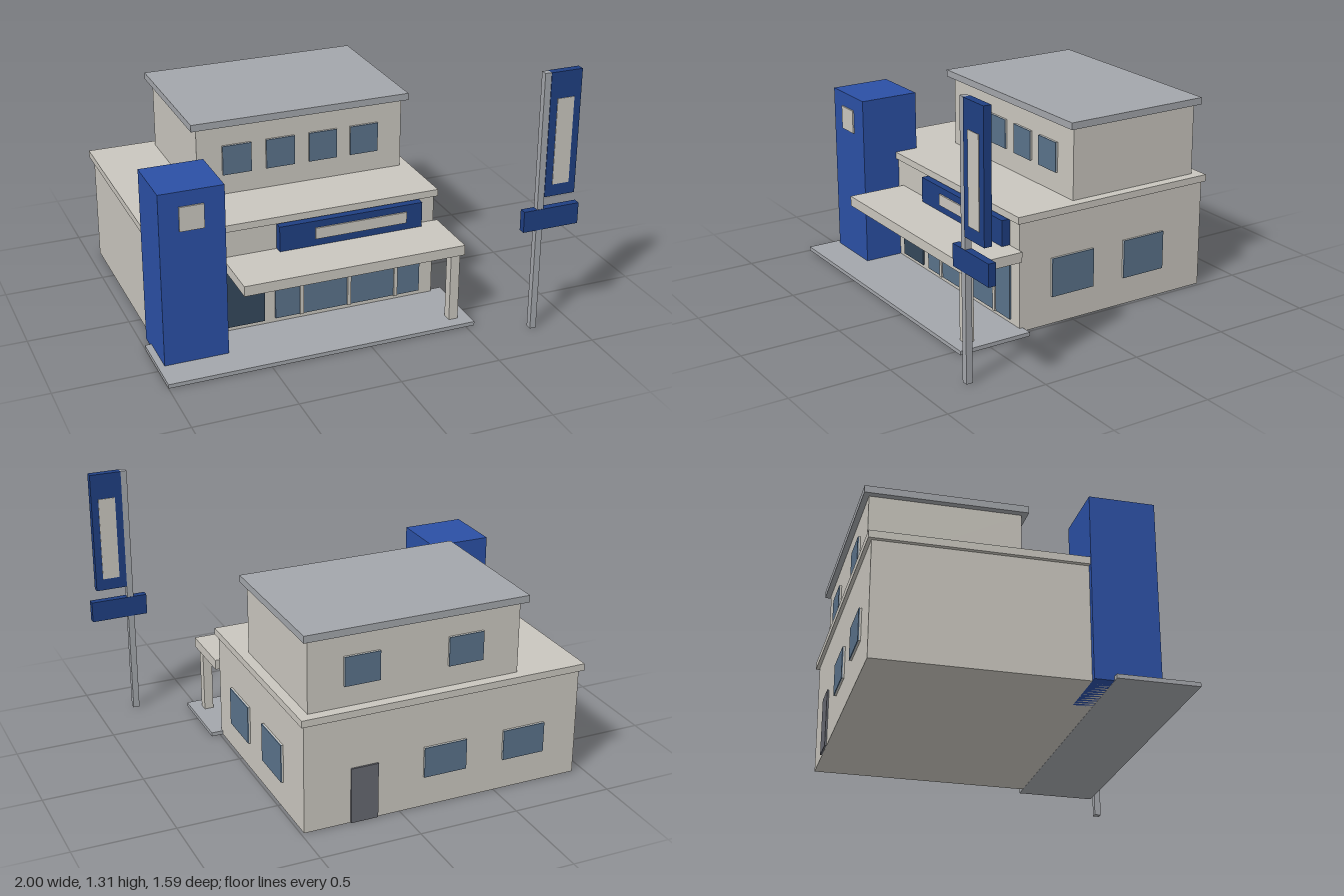
import * as THREE from 'three';

const mat = (name, color, extra = {}) => {
  const m = new THREE.MeshStandardMaterial({ color, ...extra });
  m.name = name;
  return m;
};

export function createModel() {
  const wall = mat('warm grey wall', 0xc9c6be);
  const grey = mat('cool grey', 0xa3a6ab);
  const blue = mat('bright blue', 0x2b50a5);
  const navy = mat('sign blue', 0x1f3f82);
  const glass = mat('glass', 0x5a728a);
  const dark = mat('dark door', 0x34475b);
  const service = mat('service door grey', 0x666870);

  const model = new THREE.Group();
  model.name = 'shopBuilding';

  // Box given by its minimum and maximum on each axis
  const box = (name, material, [x0, x1], [y0, y1], [z0, z1], parent = model) => {
    const mesh = new THREE.Mesh(new THREE.BoxGeometry(x1 - x0, y1 - y0, z1 - z0), material);
    mesh.position.set((x0 + x1) / 2, (y0 + y1) / 2, (z0 + z1) / 2);
    mesh.name = name;
    parent.add(mesh);
    return mesh;
  };

  // Window on a wall plane: shallow frame with a thin pane, facing its local +z
  const addWindow = (name, w, y0, y1, x, z, turn) => {
    const g = new THREE.Group();
    g.name = name;
    box('frame', wall, [-w / 2, w / 2], [y0, y1], [-0.005, 0.008], g);
    box('pane', glass, [-w / 2, w / 2], [y0, y1], [0.008, 0.013], g);
    g.position.set(x, 0, z);
    g.rotation.y = turn;
    model.add(g);
  };

  // Forecourt and the two storeys with overhanging roofs
  box('forecourt', grey, [-1, 0.545], [0, 0.02], [0.28, 0.66]);
  box('groundFloor', wall, [-0.94, 0.485], [0.001, 0.55], [-0.78, 0.298]);
  box('groundFloorRoof', wall, [-0.96, 0.5], [0.55, 0.585], [-0.797, 0.313]);
  box('upperFloor', wall, [-0.62, 0.45], [0.585, 0.945], [-0.745, -0.027]);
  box('upperRoof', grey, [-0.652, 0.476], [0.945, 0.98], [-0.772, 0.002]);

  // Corner tower with a square plate
  box('tower', blue, [-0.968, -0.655], [0.001, 0.885], [0.19, 0.497]);
  box('towerPlate', wall, [-0.873, -0.755], [0.692, 0.812], [0.497, 0.505]);

  // Entrance canopy and its post
  box('canopy', wall, [-0.61, 0.507], [0.363, 0.414], [0.298, 0.605]);
  box('canopyPost', wall, [0.438, 0.485], [0.02, 0.363], [0.55, 0.598]);

  // Storefront
  box('entranceDoor', dark, [-0.6, -0.405], [0.04, 0.328], [0.298, 0.307]);
  box('storefrontGlass', glass, [-0.35, 0.413], [0.042, 0.35], [0.298, 0.307]);
  for (const x of [-0.215, 0.033, 0.282]) {
    box('mullion', wall, [x - 0.009, x + 0.009], [0.042, 0.35], [0.3, 0.315]);
  }

  // Fascia sign above the canopy
  box('fasciaSign', navy, [-0.338, 0.402], [0.416, 0.545], [0.298, 0.342]);
  box('fasciaPanel', wall, [-0.157, 0.317], [0.453, 0.51], [0.342, 0.35]);

  // Windows: upper front, right-hand side, upper rear and lower rear
  for (const x of [-0.419, -0.195, 0.028, 0.247]) {
    addWindow('upperFrontWindow', 0.147, 0.69, 0.84, x, -0.027, 0);
  }
  for (const z of [0, -0.42]) {
    addWindow('sideWindow', 0.24, 0.143, 0.338, 0.485, z, Math.PI / 2);
  }
  for (const x of [0.185, -0.34]) {
    addWindow('upperRearWindow', 0.178, 0.69, 0.835, x, -0.745, Math.PI);
  }
  for (const x of [-0.23, -0.648]) {
    addWindow('lowerRearWindow', 0.22, 0.158, 0.312, x, -0.78, Math.PI);
  }
  box('serviceDoor', service, [0.115, 0.252], [0.002, 0.285], [-0.789, -0.78]);

  // Roadside sign on a pole, with a pale panel on both faces
  const pylon = new THREE.Group();
  pylon.name = 'roadsideSign';
  model.add(pylon);
  box('pole', grey, [0.779, 0.811], [0, 1.312], [0.759, 0.791], pylon);
  box('tallSign', navy, [0.811, 0.97], [0.695, 1.312], [0.756, 0.794], pylon);
  box('tallSignPanel', wall, [0.848, 0.934], [0.755, 1.182], [0.753, 0.797], pylon);
  box('lowSign', navy, [0.711, 1], [0.528, 0.634], [0.757, 0.793], pylon);

  return model;
}
